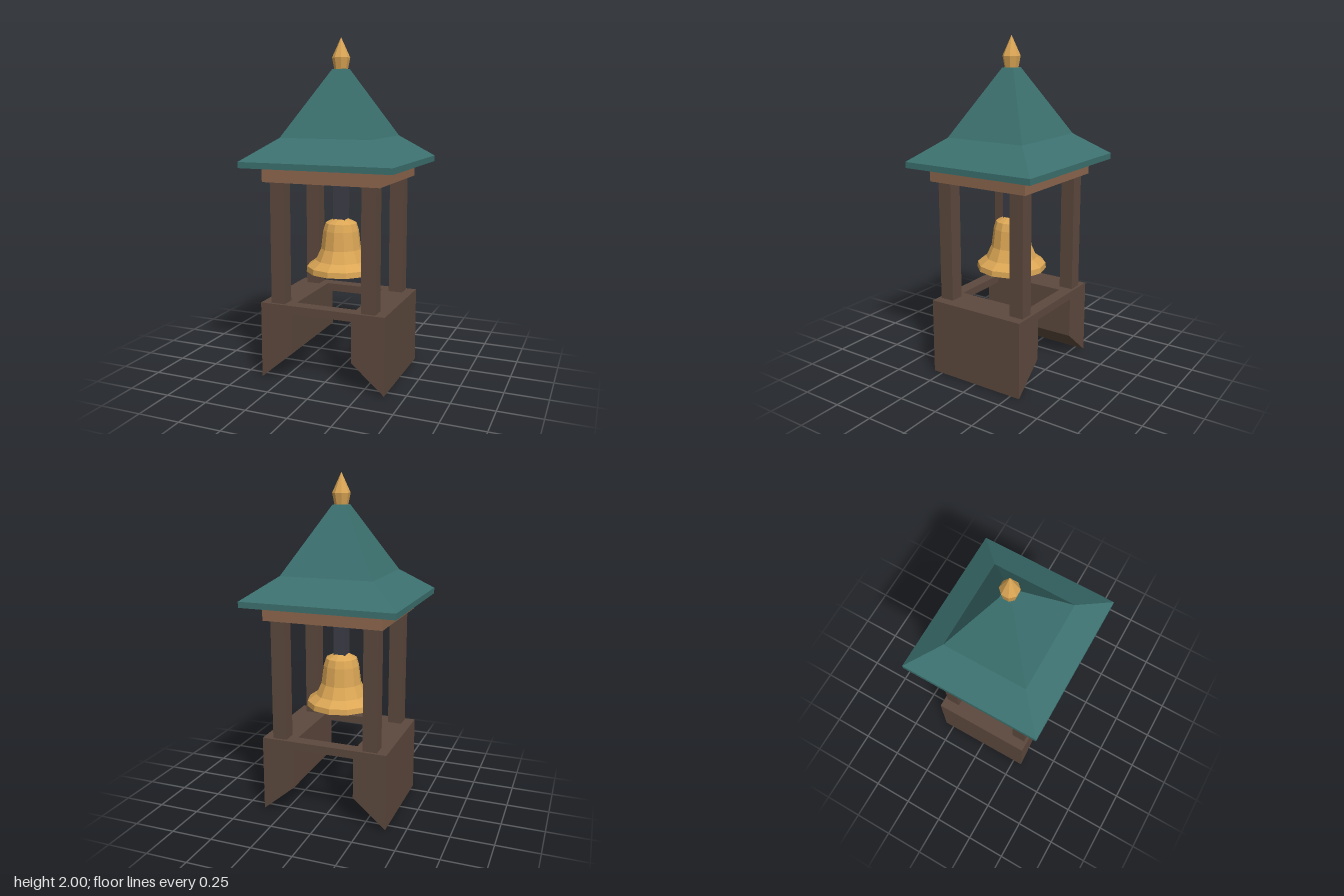
import * as THREE from 'three';

export function createModel() {
  const model = new THREE.Group();
  model.name = 'bellTower';

  const material = (name, color) => {
    const m = new THREE.MeshStandardMaterial({ color });
    m.name = name;
    return m;
  };
  const darkWood = material('dark wood', 0x5c483d);
  const lightWood = material('light wood', 0x8c664d);
  const roofGreen = material('roof green', 0x3b706e);
  const brass = material('brass', 0xdba655);
  const iron = material('iron', 0x3c3c47);

  const add = (name, geometry, mat, x = 0, y = 0, z = 0, parent = model) => {
    const mesh = new THREE.Mesh(geometry, mat);
    mesh.name = name;
    mesh.position.set(x, y, z);
    parent.add(mesh);
    return mesh;
  };

  // Faceted copy of a geometry: every face gets its own normal
  const faceted = (geometry) => {
    const g = geometry.toNonIndexed();
    g.computeVertexNormals();
    return g;
  };

  // Faceted solid of revolution from [radius, height] pairs
  const turned = (profile, sides) =>
    faceted(new THREE.LatheGeometry(profile.map(([r, y]) => new THREE.Vector2(r, y)), sides));

  // Box whose top is narrowed to the given half sizes, standing on y0
  const taper = (x0, z0, y0, x1, z1, y1) => {
    const g = new THREE.BoxGeometry(2, y1 - y0, 2);
    const p = g.attributes.position;
    for (let i = 0; i < p.count; i++) {
      const top = p.getY(i) > 0;
      p.setXYZ(i, p.getX(i) * (top ? x1 : x0), top ? y1 : y0, p.getZ(i) * (top ? z1 : z0));
    }
    g.computeVertexNormals();
    return g;
  };

  // Base: two saddle blocks cut to sit on a ridge, joined by thin rails
  const base = new THREE.Group();
  base.name = 'base';
  model.add(base);
  for (const side of [-1, 1]) {
    const outline = new THREE.Shape([
      [0.385, 0], [0.385, 0.46], [0.187, 0.46], [0.187, 0.168],
    ].map(([x, y]) => new THREE.Vector2(side * x, y)));
    const block = new THREE.ExtrudeGeometry(outline, { depth: 0.618, bevelEnabled: false });
    add('saddleBlock', block, darkWood, 0, 0, -0.309, base);
    add('rail', new THREE.BoxGeometry(0.374, 0.048, 0.077), darkWood, 0, 0.436, side * 0.2705, base);
  }

  // Four corner posts
  for (const sx of [-1, 1]) {
    for (const sz of [-1, 1]) {
      add('post', new THREE.BoxGeometry(0.086, 0.72, 0.086), darkWood, sx * 0.281, 0.82, sz * 0.248);
    }
  }

  // Plate that carries the roof
  add('topPlate', new THREE.BoxGeometry(0.714, 0.085, 0.65), lightWood, 0, 1.2225, 0);

  // Roof: eaves board, flared skirt and steep spire
  const roof = new THREE.Group();
  roof.name = 'roof';
  model.add(roof);
  add('eaves', taper(0.458, 0.42, 1.265, 0.458, 0.42, 1.3), roofGreen, 0, 0, 0, roof);
  add('skirt', taper(0.458, 0.42, 1.3, 0.276, 0.253, 1.43), roofGreen, 0, 0, 0, roof);
  add('spire', taper(0.276, 0.253, 1.43, 0.04, 0.037, 1.82), roofGreen, 0, 0, 0, roof);

  // Finial
  const finial = turned([[0, 1.82], [0.04, 1.82], [0.053, 1.885], [0, 2]], 8);
  add('finial', finial, brass).rotation.y = Math.PI / 8;

  // Bell with a hollow inside, its hanger and clapper
  const bell = new THREE.Group();
  bell.name = 'bell';
  model.add(bell);
  add('bellBody', turned([
    [0, 0.9], [0.08, 0.88], [0.095, 0.76], [0.135, 0.68], [0.175, 0.62],
    [0.21, 0.62], [0.207, 0.653], [0.155, 0.69], [0.122, 0.76],
    [0.108, 0.87], [0.094, 0.915], [0.045, 0.94], [0, 0.94],
  ], 12), brass, 0, 0, 0, bell);
  add('hanger', new THREE.BoxGeometry(0.075, 0.25, 0.075), iron, 0, 1.06, 0, bell);
  add('clapper', faceted(new THREE.SphereGeometry(0.052, 8, 6)), iron, 0, 0.644, 0, bell);
  add('clapperRod', faceted(new THREE.CylinderGeometry(0.014, 0.014, 0.24, 6)), iron, 0, 0.78, 0, bell);

  return model;
}
